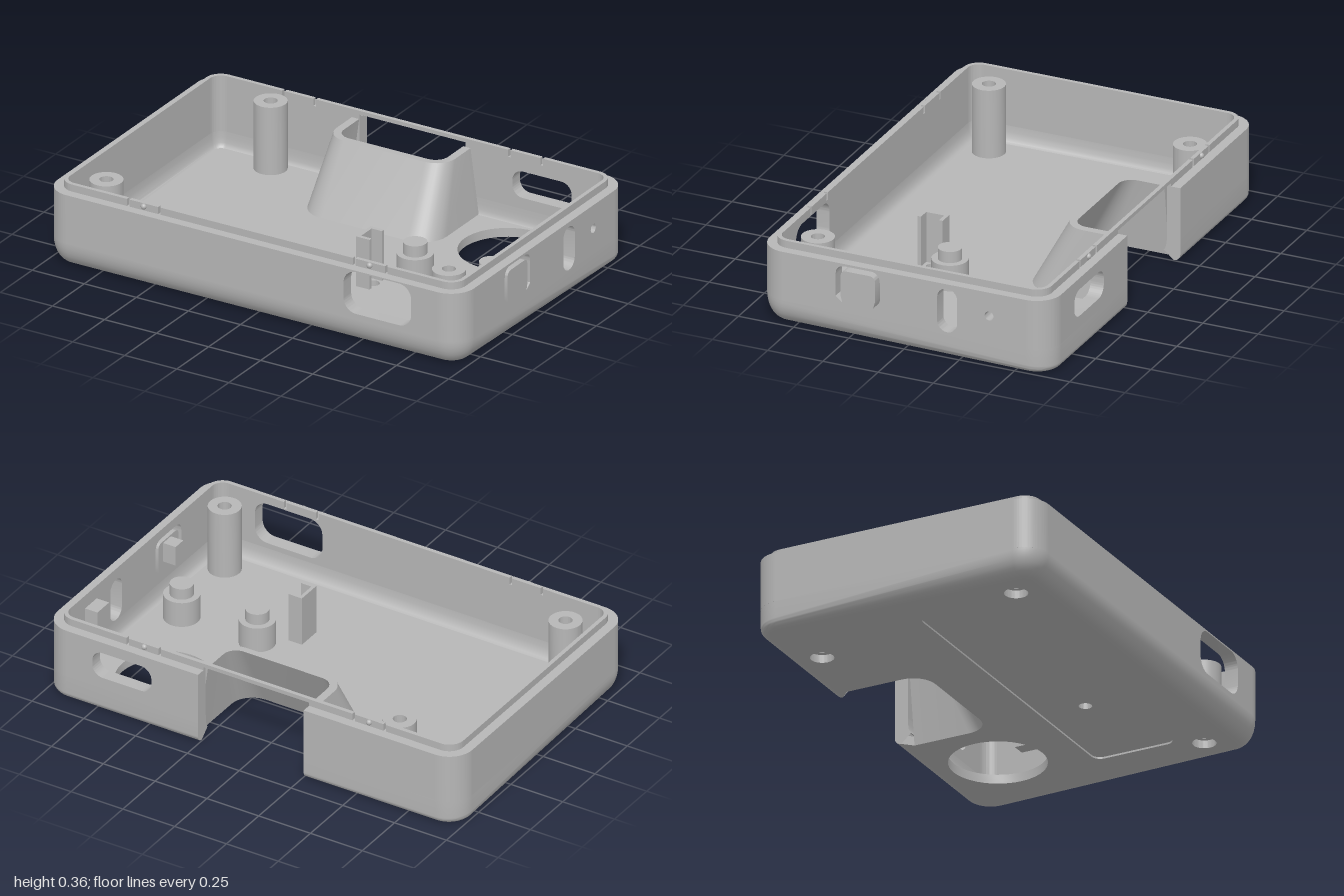
import * as THREE from 'three';
import { toCreasedNormals } from 'three/addons/utils/BufferGeometryUtils.js';

const W = 1, D = 0.66, R = 0.11, T = 0.06, BAND = 0.11, RIM = 0.33, LIP = 0.362, NOTCH = 0.255, FLOOR = 0.04;

export function createModel() {
  const group = new THREE.Group();
  const plastic = new THREE.MeshStandardMaterial({ color: 0xb6b6b6, side: THREE.DoubleSide });
  plastic.name = 'grey plastic';
  const add = (name, geo) => {
    const m = new THREE.Mesh(geo, plastic);
    m.name = name;
    group.add(m);
    return m;
  };
  const box = (name, x0, x1, y0, y1, z0, z1) =>
    add(name, new THREE.BoxGeometry(x1 - x0, y1 - y0, z1 - z0).translate((x0 + x1) / 2, (y0 + y1) / 2, (z0 + z1) / 2));
  // extrude a shape drawn in x and z between two heights
  const slab = (name, shape, y0, y1) => add(name, toCreasedNormals(
    new THREE.ExtrudeGeometry(shape, { depth: y1 - y0, bevelEnabled: false, curveSegments: 24 })
      .rotateX(Math.PI / 2).translate(0, y1, 0), 0.6));
  const extrudeWall = (shape) => toCreasedNormals(
    new THREE.ExtrudeGeometry(shape, { depth: T, bevelEnabled: false, curveSegments: 12 }), 0.6);
  const rect = (x0, x1, y0, y1) => new THREE.Shape([[x0, y0], [x1, y0], [x1, y1], [x0, y1]].map(p => new THREE.Vector2(...p)));
  const roundRect = (x0, x1, y0, y1, r) => {
    const p = new THREE.Path();
    p.absarc(x1 - r, y1 - r, r, 0, Math.PI / 2);
    p.absarc(x0 + r, y1 - r, r, Math.PI / 2, Math.PI);
    p.absarc(x0 + r, y0 + r, r, Math.PI, 1.5 * Math.PI);
    p.absarc(x1 - r, y0 + r, r, 1.5 * Math.PI, 2 * Math.PI);
    p.closePath();
    return p;
  };
  const circle = (x, y, r) => new THREE.Path().absarc(x, y, r, 0, Math.PI * 2);
  // skin a series of equal-length point rows, capping both ends
  const skin = (rows) => {
    const pos = rows.flat(2), n = rows[0].length, idx = [];
    for (let i = 0; i < rows.length - 1; i++)
      for (let j = 0; j < n - 1; j++) {
        const a = i * n + j, b = a + 1, d = a + n, e = d + 1;
        idx.push(a, d, b, b, d, e);
      }
    for (let i = 1; i < rows.length - 1; i++) {
      idx.push(0, (i + 1) * n, i * n);
      idx.push(n - 1, i * n + n - 1, (i + 1) * n + n - 1);
    }
    const g = new THREE.BufferGeometry();
    g.setAttribute('position', new THREE.Float32BufferAttribute(pos, 3));
    g.setIndex(idx);
    return toCreasedNormals(g, 0.6);
  };

  // perimeter from one side of the rear notch round to the other: [x, z, normalX, normalZ]
  const ring = [[NOTCH, -D, 0, -1]];
  [[1, -1], [1, 1], [-1, 1], [-1, -1]].forEach(([sx, sz], c) => {
    for (let i = 0; i <= 10; i++) {
      const a = (c - 1 + i / 10) * Math.PI / 2, nx = Math.cos(a), nz = Math.sin(a);
      ring.push([sx * (W - R) + R * nx, sz * (D - R) + R * nz, nx, nz]);
    }
  });
  ring.push([-NOTCH, -D, 0, -1]);
  // bottom rounding grows from the back to the front
  const mix = (z, a, b) => a + (b - a) * (z + D) / (2 * D);
  const inset = z => mix(z, 0.03, 0.07), high = z => mix(z, 0.03, 0.108);
  const row = (dist, y) => ring.map(([x, z, nx, nz]) => [x - nx * dist(z), y(z), z - nz * dist(z)]);
  const rows = [];
  for (let i = 0; i <= 8; i++) {
    const a = i / 8 * Math.PI / 2;
    rows.push(row(z => inset(z) * (1 - Math.sin(a)), z => high(z) * (1 - Math.cos(a))));
  }
  rows.push(row(() => 0, () => BAND), row(() => T, () => BAND));
  for (let i = 1; i <= 4; i++) {
    const a = i / 4 * Math.PI / 2;
    rows.push(row(z => T + mix(z, 0.015, 0.035) * (1 - Math.cos(a)), () => BAND - (BAND - FLOOR) * Math.sin(a)));
  }
  add('roundedLowerWall', skin(rows));

  // finger pocket, open at the back
  const uShape = (w, zf, r, y) => {
    const pts = [[-w, y, -0.59]];
    for (let i = 0; i <= 8; i++) {
      const a = i / 8 * Math.PI / 2;
      pts.push([-w + r - r * Math.cos(a), y, zf - r + r * Math.sin(a)]);
    }
    return pts.concat(pts.slice().reverse().map(([x, yy, z]) => [-x, yy, z]));
  };
  const pocketBase = uShape(0.295, -0.235, 0.1, 0);
  add('pocketWall', skin([pocketBase, uShape(0.25, -0.41, 0.06, RIM),
    uShape(0.285, -0.38, 0.09, RIM), uShape(0.33, -0.2, 0.12, 0)]));

  // floor, with a shallow label recess beneath
  const posts = [[-0.635, -0.525], [-0.815, 0.47], [0.83, 0.47]];
  const floorShape = () => {
    const edge = rows[0].concat(pocketBase).map(([x, , z]) => new THREE.Vector2(x, z));
    const s = new THREE.Shape(edge);
    posts.forEach(([x, z]) => s.holes.push(circle(x, z, 0.05)));
    s.holes.push(circle(0.6, -0.365, 0.205));
    return s;
  };
  const upper = floorShape(), under = floorShape();
  upper.holes.push(circle(0.3, 0.2, 0.028));
  under.holes.push(roundRect(-0.78, 0.77, 0, 0.37, 0.04));
  slab('floor', upper, 0.008, FLOOR);
  slab('floorUnderside', under, 0, 0.008);

  // upper walls with their openings
  const front = rect(-W + R, W - R, BAND, RIM);
  front.holes.push(roundRect(0.44, 0.765, 0.135, 0.324, 0.06));
  add('frontWall', extrudeWall(front).translate(0, 0, D - T));
  const backLeft = rect(NOTCH, W - R, BAND, RIM);
  backLeft.holes.push(roundRect(0.48, 0.765, 0.16, 0.28, 0.05));
  add('backWallLeft', extrudeWall(backLeft).translate(0, 0, -D));
  add('backWallRight', extrudeWall(rect(-W + R, -NOTCH, BAND, RIM)).translate(0, 0, -D));
  box('plainSideWall', -W, -W + T, BAND, RIM, -D + R, D - R);

  const side = rect(-D + R, D - R, BAND, RIM);
  side.holes.push(roundRect(-0.24, -0.15, 0.114, 0.31, 0.0449), circle(-0.385, 0.225, 0.02));
  // slit that frees the springy button
  const slit = new THREE.Path();
  slit.moveTo(0.31, 0.18);
  slit.lineTo(0.31, 0.275);
  slit.quadraticCurveTo(0.31, 0.32, 0.265, 0.32);
  slit.lineTo(0.155, 0.32);
  slit.quadraticCurveTo(0.11, 0.32, 0.11, 0.275);
  slit.lineTo(0.11, 0.18);
  slit.lineTo(0.14, 0.155);
  slit.lineTo(0.132, 0.185);
  slit.lineTo(0.132, 0.27);
  slit.quadraticCurveTo(0.132, 0.298, 0.16, 0.298);
  slit.lineTo(0.26, 0.298);
  slit.quadraticCurveTo(0.288, 0.298, 0.288, 0.27);
  slit.lineTo(0.288, 0.185);
  slit.lineTo(0.28, 0.155);
  slit.closePath();
  side.holes.push(slit);
  add('buttonSideWall', extrudeWall(side).rotateY(-Math.PI / 2).translate(W, 0, 0));

  // wall and lip corners
  const L0 = 0.042, L1 = T;
  [[1, -1], [1, 1], [-1, 1], [-1, -1]].forEach(([sx, sz], c) => {
    const a0 = (c - 1) * Math.PI / 2, a1 = a0 + Math.PI / 2;
    const corner = (ro, ri) => {
      const s = new THREE.Shape();
      s.absarc(sx * (W - R), sz * (D - R), ro, a0, a1, false);
      s.absarc(sx * (W - R), sz * (D - R), ri, a1, a0, true);
      return s;
    };
    slab('wallCorner', corner(R, R - T), BAND, RIM);
    slab('lipCorner', corner(R - L0, R - L1), RIM, LIP);
  });

  // lip, slotted beside each snap bump
  for (const s of [-1, 1]) {
    const xs = [W - L0, W - L1].map(x => s * x).sort((a, b) => a - b);
    const zs = [D - L0, D - L1].map(z => s * z).sort((a, b) => a - b);
    box('sideLip', xs[0], xs[1], RIM, LIP, -D + R, D - R);
    const cuts = [-W + R, -0.62, -0.47, 0.465, 0.62, W - R];
    for (let i = 0; i < 5; i++) {
      const x0 = cuts[i] + (i ? 0.006 : 0), x1 = cuts[i + 1] - (i < 4 ? 0.006 : 0);
      if (s < 0 && i === 2) {
        box('lip', x0, -NOTCH, RIM, LIP, zs[0], zs[1]);
        box('lip', NOTCH, x1, RIM, LIP, zs[0], zs[1]);
        box('notchBridge', -NOTCH, NOTCH, 0.345, LIP, zs[0], zs[1]);
      } else box('lip', x0, x1, RIM, LIP, zs[0], zs[1]);
    }
    for (const x of [-0.545, 0.54])
      add('snapBump', new THREE.SphereGeometry(0.013, 12, 8).translate(x, 0.348, s * (D - L0)));
  }

  // screw posts
  for (const [x, z] of posts) {
    const s = new THREE.Shape().absarc(x, z, 0.07, 0, Math.PI * 2);
    s.holes.push(circle(x, z, 0.029));
    slab('screwPost', s, FLOOR - 0.005, 0.345);
  }
  // pegged standoffs
  for (const x of [0.42, 0.785]) {
    add('standoff', new THREE.CylinderGeometry(0.077, 0.077, 0.12, 32).translate(x, 0.095, 0.065));
    add('standoffPeg', new THREE.CylinderGeometry(0.05, 0.05, 0.05, 32).translate(x, 0.18, 0.065));
  }
  // channel bracket and wall tabs
  box('bracketBack', 0.255, 0.27, FLOOR, 0.265, 0.145, 0.26);
  box('bracketArm', 0.27, 0.32, FLOOR, 0.265, 0.145, 0.162);
  box('bracketArm', 0.27, 0.32, FLOOR, 0.265, 0.243, 0.26);
  box('buttonTab', 0.88, W - T, 0.2, 0.29, 0.17, 0.23);
  box('indicatorTab', 0.88, W - T, 0.2, 0.3, -0.435, -0.345);
  return group;
}
